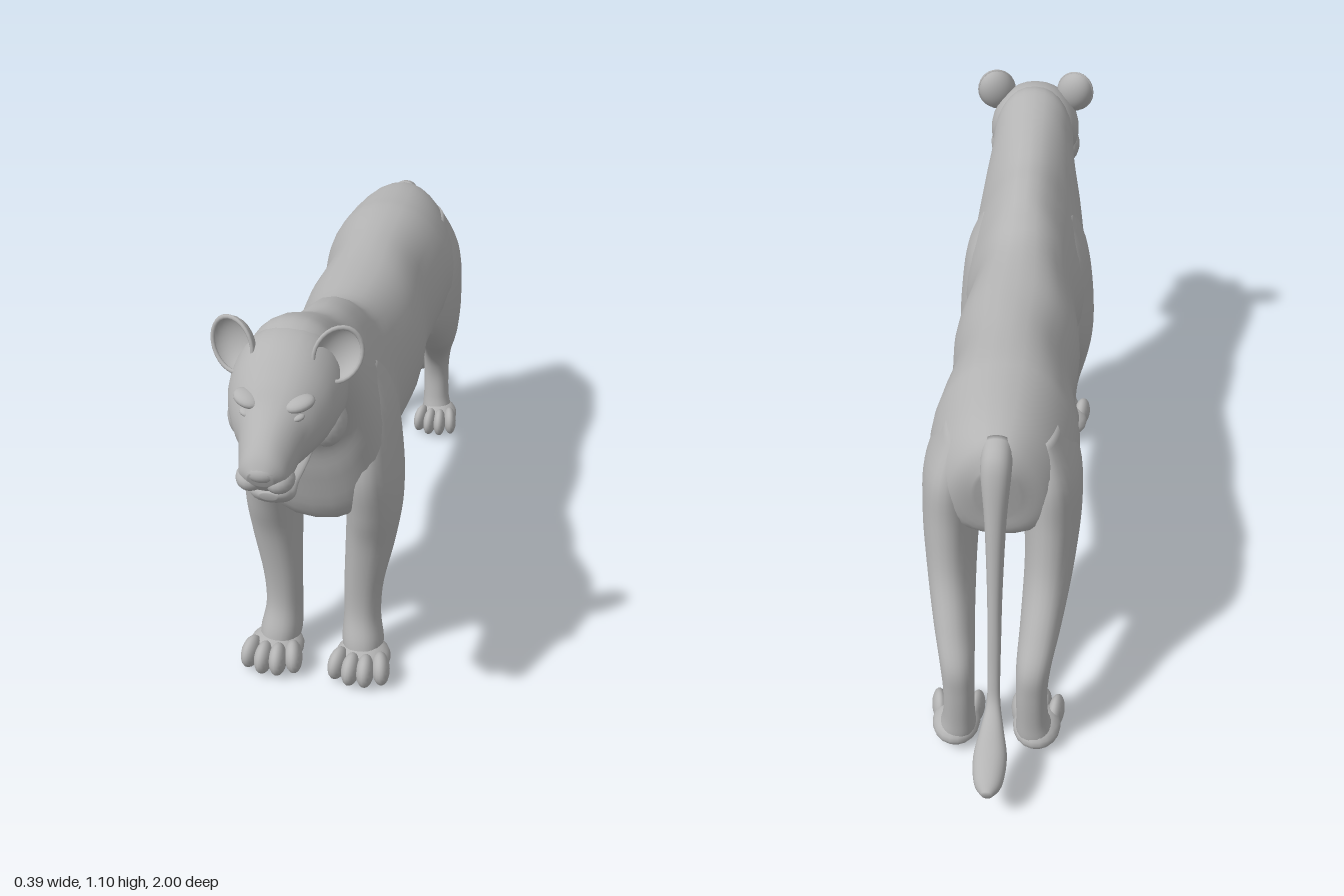
import * as THREE from 'three';

const coat = new THREE.MeshStandardMaterial({ color: 0xb4b4b4 });
coat.name = 'plain grey coat';
const earCoat = coat.clone();
earCoat.name = 'plain grey ear';
earCoat.side = THREE.DoubleSide;

// Catmull-Rom blend of four numbers
function blend(a, b, c, d, t) {
  return 0.5 * (2 * b + (c - a) * t + (2 * a - 5 * b + 4 * c - d) * t * t + (3 * b - a - 3 * c + d) * t * t * t);
}

// Smooth skin over rings. Each ring is [z, y, z, y, halfWidth, centreX, pinch]:
// two opposite points on its centre line, its half width, and how far it narrows at the first point.
function loft(name, rings, side = 1, sub = 5, n = 28) {
  const full = rings.map(r => [r[0], r[1], r[2], r[3], r[4], (r[5] || 0) * side, r[6] || 0]);
  const dense = [];
  for (let i = 0; i < full.length - 1; i++) {
    const q = [full[Math.max(i - 1, 0)], full[i], full[i + 1], full[Math.min(i + 2, full.length - 1)]];
    for (let s = 0; s < sub; s++) dense.push(full[i].map((_, k) => blend(q[0][k], q[1][k], q[2][k], q[3][k], s / sub)));
  }
  dense.push(full[full.length - 1]);
  const pos = [], idx = [];
  for (const [za, ya, zb, yb, w, cx, pinch] of dense) {
    for (let j = 0; j < n; j++) {
      const t = (j / n) * Math.PI * 2, s = Math.sin(t), c = Math.cos(t);
      const x = Math.sign(c) * Math.pow(Math.abs(c), 0.9) * w * (1 - pinch * s);
      pos.push(cx + x, (ya + yb) / 2 + s * (ya - yb) / 2, (za + zb) / 2 + s * (za - zb) / 2);
    }
  }
  const m = dense.length;
  for (let i = 0; i < m - 1; i++) {
    for (let j = 0; j < n; j++) {
      const a = i * n + j, b = i * n + (j + 1) % n;
      idx.push(a, b, a + n, b, b + n, a + n);
    }
  }
  // Close both ends
  for (const [row, flip] of [[0, true], [m - 1, false]]) {
    const r = dense[row], centre = pos.length / 3;
    pos.push(r[5], (r[1] + r[3]) / 2, (r[0] + r[2]) / 2);
    for (let j = 0; j < n; j++) {
      const a = row * n + j, b = row * n + (j + 1) % n;
      if (flip) idx.push(centre, b, a);
      else idx.push(centre, a, b);
    }
  }
  const g = new THREE.BufferGeometry();
  g.setAttribute('position', new THREE.Float32BufferAttribute(pos, 3));
  g.setIndex(idx);
  g.computeVertexNormals();
  const mesh = new THREE.Mesh(g, coat);
  mesh.name = name;
  return mesh;
}

function blob(name, p, s, rot = [0, 0, 0]) {
  const mesh = new THREE.Mesh(new THREE.SphereGeometry(1, 18, 12), coat);
  mesh.name = name;
  mesh.position.set(...p);
  mesh.scale.set(...s);
  mesh.rotation.set(...rot);
  return mesh;
}

// Paw with four toes
function paw(name, side, x, z, w) {
  const g = new THREE.Group();
  g.name = name;
  g.add(blob('pawPad', [x * side, 0.044, z], [w * 0.9, 0.04, 0.072]));
  for (let i = 0; i < 4; i++) {
    const u = (i - 1.5) / 1.5, inner = Math.abs(u) < 0.5;
    g.add(blob('toe', [(x + u * w * 0.7) * side, 0.046, z + (inner ? 0.062 : 0.045)],
      [w * 0.29, 0.042, 0.042], [0.25, u * 0.2 * side, 0]));
  }
  return g;
}

export function createModel() {
  const model = new THREE.Group();
  model.name = 'bigCat';

  // Torso and neck, rump to nape
  model.add(loft('torso', [
    [-0.665, 0.80, -0.635, 0.64, 0.05],
    [-0.635, 0.857, -0.62, 0.58, 0.115, 0, 0.2],
    [-0.56, 0.886, -0.54, 0.54, 0.16, 0, 0.2],
    [-0.42, 0.90, -0.42, 0.51, 0.178, 0, 0.15],
    [-0.34, 0.903, -0.34, 0.495, 0.172, 0, 0.1],
    [-0.18, 0.893, -0.18, 0.45, 0.153, 0, 0.05],
    [0, 0.883, 0, 0.42, 0.165],
    [0.2, 0.888, 0.2, 0.43, 0.146, 0, 0.1],
    [0.30, 0.938, 0.32, 0.43, 0.158, 0, 0.28],
    [0.38, 0.964, 0.44, 0.43, 0.165, 0, 0.3],
    [0.47, 0.982, 0.54, 0.47, 0.155, 0, 0.25],
    [0.56, 1.025, 0.585, 0.60, 0.138, 0, 0.18],
    [0.64, 1.062, 0.61, 0.70, 0.12, 0, 0.05],
    [0.70, 1.077, 0.67, 0.785, 0.112],
    [0.76, 1.06, 0.74, 0.835, 0.09],
  ]));

  // Skull and muzzle
  const head = new THREE.Group();
  head.name = 'head';
  head.add(loft('skull', [
    [0.66, 1.02, 0.69, 0.87, 0.08],
    [0.69, 1.06, 0.71, 0.84, 0.116, 0, 0.1],
    [0.74, 1.07, 0.76, 0.825, 0.126, 0, 0.12],
    [0.80, 1.055, 0.82, 0.825, 0.116, 0, 0.1],
    [0.86, 1.015, 0.865, 0.82, 0.094, 0, 0.05],
    [0.90, 0.978, 0.90, 0.815, 0.07],
    [0.95, 0.938, 0.94, 0.81, 0.057, 0, 0.15],
    [0.982, 0.905, 0.965, 0.815, 0.048, 0, 0.15],
    [0.998, 0.875, 0.985, 0.838, 0.026],
  ]));
  head.add(loft('lowerJaw', [
    [0.77, 0.86, 0.77, 0.815, 0.07],
    [0.82, 0.825, 0.82, 0.79, 0.06],
    [0.86, 0.797, 0.86, 0.763, 0.048],
    [0.90, 0.795, 0.895, 0.747, 0.049],
    [0.925, 0.80, 0.92, 0.757, 0.04],
    [0.938, 0.79, 0.935, 0.772, 0.018],
  ]));
  head.add(blob('nosePad', [0, 0.868, 0.978], [0.034, 0.022, 0.022], [-0.3, 0, 0]));
  for (const side of [-1, 1]) {
    head.add(blob('whiskerPad', [side * 0.03, 0.838, 0.95], [0.032, 0.028, 0.038]));
    head.add(blob('brow', [side * 0.055, 0.975, 0.873], [0.034, 0.015, 0.026], [0, side * 0.6, side * 0.2]));
    head.add(blob('eye', [side * 0.053, 0.951, 0.888], [0.017, 0.008, 0.014], [0, side * 0.6, side * 0.15]));
    head.add(blob('cheek', [side * 0.088, 0.875, 0.765], [0.042, 0.055, 0.055]));

    const fang = new THREE.Mesh(new THREE.ConeGeometry(0.007, 0.03, 8), coat);
    fang.name = 'lowerFang';
    fang.position.set(side * 0.034, 0.803, 0.908);
    head.add(fang);

    // Cupped ear, open to the front and outside
    const earShape = new THREE.SphereGeometry(1, 22, 10, 0, Math.PI * 2, 0, Math.PI / 2);
    earShape.rotateX(-Math.PI / 2);
    const ear = new THREE.Mesh(earShape, earCoat);
    ear.name = 'ear';
    ear.scale.set(0.052, 0.064, 0.042);
    ear.position.set(side * 0.113, 1.04, 0.772);
    ear.rotation.set(-0.15, side * 0.35, -side * 0.35);
    head.add(ear);
    const rim = new THREE.Mesh(new THREE.TorusGeometry(1, 0.09, 8, 28), coat);
    rim.name = 'earRim';
    rim.scale.set(0.05, 0.061, 0.05);
    rim.position.copy(ear.position);
    rim.rotation.copy(ear.rotation);
    head.add(rim);
  }
  model.add(head);

  // Legs, mirrored
  for (const side of [-1, 1]) {
    const label = side > 0 ? 'left' : 'right';
    model.add(loft(label + 'FrontLeg', [
      [0.49, 0.84, 0.36, 0.84, 0.025, 0.095],
      [0.535, 0.74, 0.30, 0.73, 0.055, 0.112],
      [0.57, 0.60, 0.28, 0.58, 0.066, 0.122],
      [0.552, 0.48, 0.30, 0.46, 0.067, 0.125],
      [0.526, 0.38, 0.36, 0.35, 0.061, 0.118],
      [0.512, 0.25, 0.405, 0.23, 0.049, 0.104],
      [0.515, 0.16, 0.41, 0.13, 0.046, 0.101],
      [0.54, 0.095, 0.42, 0.06, 0.052, 0.106],
      [0.55, 0.05, 0.45, 0.015, 0.045, 0.11],
    ], side));
    model.add(paw(label + 'FrontPaw', side, 0.112, 0.512, 0.078));

    model.add(loft(label + 'HindLeg', [
      [-0.36, 0.80, -0.58, 0.82, 0.03, 0.10],
      [-0.31, 0.68, -0.63, 0.72, 0.064, 0.118],
      [-0.33, 0.545, -0.645, 0.60, 0.069, 0.122],
      [-0.44, 0.43, -0.675, 0.47, 0.06, 0.118],
      [-0.58, 0.34, -0.738, 0.36, 0.05, 0.105],
      [-0.68, 0.262, -0.785, 0.28, 0.042, 0.092],
      [-0.712, 0.19, -0.79, 0.20, 0.038, 0.088],
      [-0.705, 0.11, -0.787, 0.10, 0.039, 0.09],
      [-0.69, 0.06, -0.785, 0.045, 0.045, 0.095],
      [-0.70, 0.025, -0.765, 0.015, 0.035, 0.095],
    ], side));
    model.add(paw(label + 'HindPaw', side, 0.1, -0.722, 0.066));
  }

  // Hanging tail ending in a tuft
  model.add(loft('tail', [
    [-0.60, 0.80, -0.62, 0.872, 0.035],
    [-0.645, 0.77, -0.686, 0.835, 0.035],
    [-0.665, 0.67, -0.722, 0.69, 0.025],
    [-0.705, 0.50, -0.752, 0.50, 0.018],
    [-0.742, 0.36, -0.775, 0.36, 0.016],
    [-0.765, 0.26, -0.792, 0.27, 0.015],
    [-0.79, 0.185, -0.81, 0.21, 0.017],
    [-0.84, 0.135, -0.85, 0.18, 0.028],
    [-0.90, 0.097, -0.91, 0.16, 0.04],
    [-0.96, 0.078, -0.97, 0.135, 0.033],
    [-0.993, 0.09, -1.0, 0.115, 0.012],
  ]));

  return model;
}
